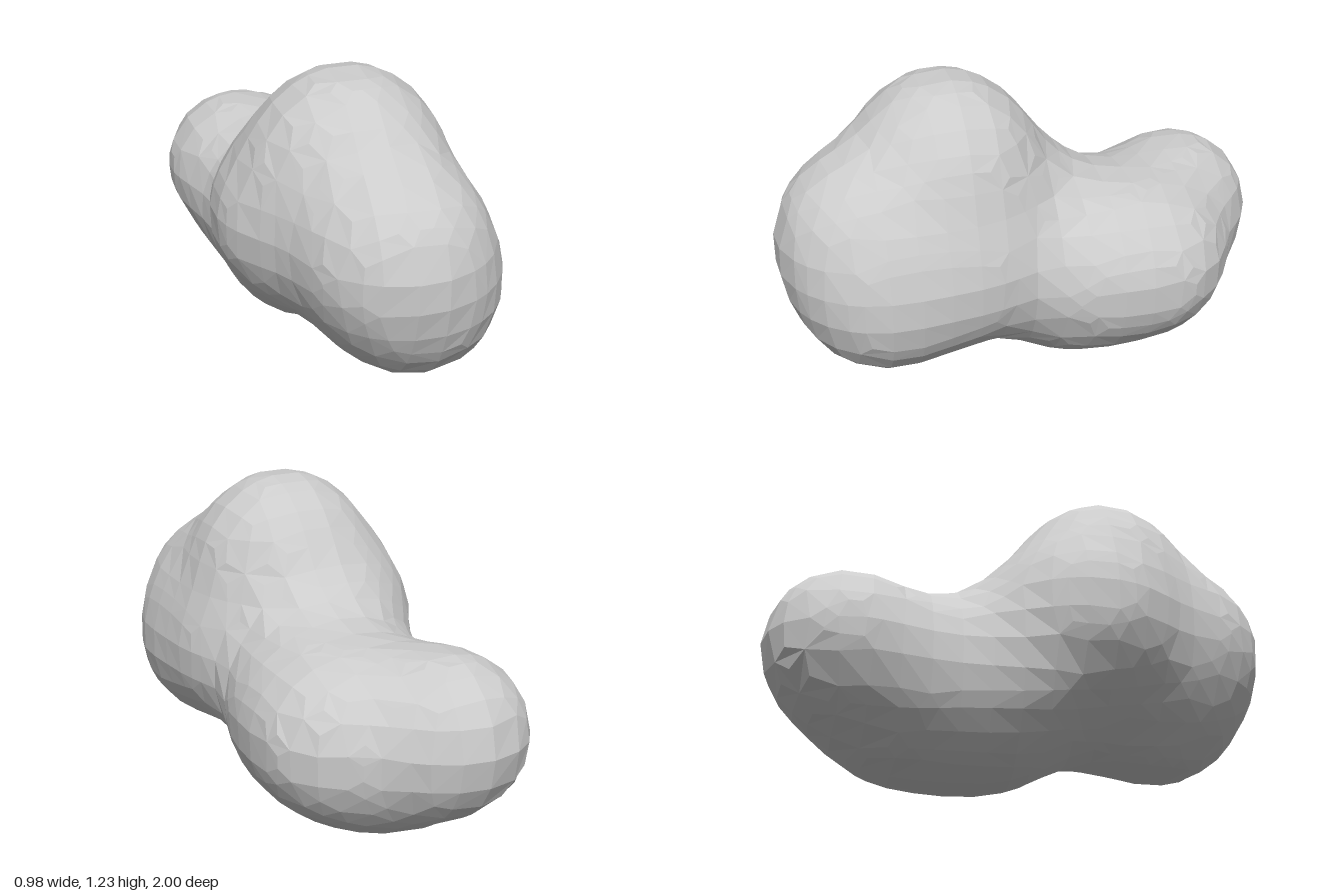
import * as THREE from 'three';

// Lobes of the blob: x, y, z, radius
const LOBES = [
  [-0.03, 0.90, 0.34, 0.28], [0.06, 0.87, 0.30, 0.26],    // crown
  [0.17, 0.44, 0.61, 0.30], [0.08, 0.64, 0.66, 0.328],    // front
  [-0.155, 0.63, 0.24, 0.323], [0.14, 0.51, 0.30, 0.313], // front flanks
  [-0.02, 0.61, 0.03, 0.215], [-0.10, 0.40, 0.06, 0.20],  // neck
  [0.00, 0.34, -0.14, 0.33], [-0.04, 0.34, -0.46, 0.32],  // belly
  [0.16, 0.41, -0.22, 0.27], [0.19, 0.40, -0.47, 0.262],  // back left flank
  [-0.17, 0.44, -0.70, 0.293],                            // tail
];
const BLEND = 0.08, STEP = 0.113;
const ORIGIN = [-0.794, -0.292, -1.34], COUNT = [15, 17, 24];

// Smoothly blended distance to all lobes, negative inside
function field(x, y, z) {
  let sum = 0;
  for (const [a, b, c, r] of LOBES) {
    sum += Math.exp((r - Math.hypot(x - a, y - b, z - c)) / BLEND);
  }
  return -BLEND * Math.log(sum);
}

const gridPoint = (c) => new THREE.Vector3(...c.map((n, i) => ORIGIN[i] + n * STEP));
const at = (v) => field(v.x, v.y, v.z);

// Move a point onto the blended surface
function settle(p) {
  const e = 0.002;
  for (let i = 0; i < 2; i++) {
    const d = at(p);
    const g = new THREE.Vector3(
      field(p.x + e, p.y, p.z) - field(p.x - e, p.y, p.z),
      field(p.x, p.y + e, p.z) - field(p.x, p.y - e, p.z),
      field(p.x, p.y, p.z + e) - field(p.x, p.y, p.z - e)).divideScalar(2 * e);
    p.addScaledVector(g, -d / Math.max(g.lengthSq(), 0.2));
  }
  return p;
}

// One surface point per grid cell, the mean of its edge crossings
function cellPoint(cell) {
  const mean = new THREE.Vector3();
  let hits = 0;
  for (let axis = 0; axis < 3; axis++) {
    for (let k = 0; k < 4; k++) {
      const c = [...cell];
      c[(axis + 1) % 3] += k & 1;
      c[(axis + 2) % 3] += k >> 1;
      const p = gridPoint(c);
      c[axis]++;
      const q = gridPoint(c);
      const f = at(p), g = at(q);
      if ((f < 0) === (g < 0)) continue;
      mean.add(p.lerp(q, f / (f - g)));
      hits++;
    }
  }
  return settle(mean.divideScalar(hits));
}

// Faceted skin: one quad round every grid edge that crosses the surface
function blobGeometry() {
  const cells = new Map(), positions = [];
  const pointOf = (c) => {
    const key = c.join();
    if (!cells.has(key)) cells.set(key, cellPoint(c));
    return cells.get(key);
  };
  for (let i = 1; i < COUNT[0]; i++)
    for (let j = 1; j < COUNT[1]; j++)
      for (let k = 1; k < COUNT[2]; k++) {
        const c = [i, j, k];
        const inside = at(gridPoint(c)) < 0;
        for (let axis = 0; axis < 3; axis++) {
          const next = [...c];
          next[axis]++;
          if (inside === (at(gridPoint(next)) < 0)) continue;
          const quad = [[-1, -1], [0, -1], [0, 0], [-1, 0]].map(([u, v]) => {
            const n = [...c];
            n[(axis + 1) % 3] += u;
            n[(axis + 2) % 3] += v;
            return pointOf(n);
          });
          if (!inside) quad.reverse();
          for (const n of [0, 1, 2, 0, 2, 3]) positions.push(...quad[n].toArray());
        }
      }
  const geometry = new THREE.BufferGeometry();
  geometry.setAttribute('position', new THREE.Float32BufferAttribute(positions, 3));

  // Centre it and stand it on the ground
  geometry.computeBoundingBox();
  const mid = geometry.boundingBox.getCenter(new THREE.Vector3());
  geometry.translate(-mid.x, -geometry.boundingBox.min.y, -mid.z);
  geometry.computeVertexNormals();
  return geometry;
}

export function createModel() {
  const group = new THREE.Group();
  group.name = 'blob';
  const body = new THREE.Mesh(
    blobGeometry(),
    new THREE.MeshStandardMaterial({ color: 0xcccccc, flatShading: true }));
  body.name = 'lobedBody';
  group.add(body);
  return group;
}
